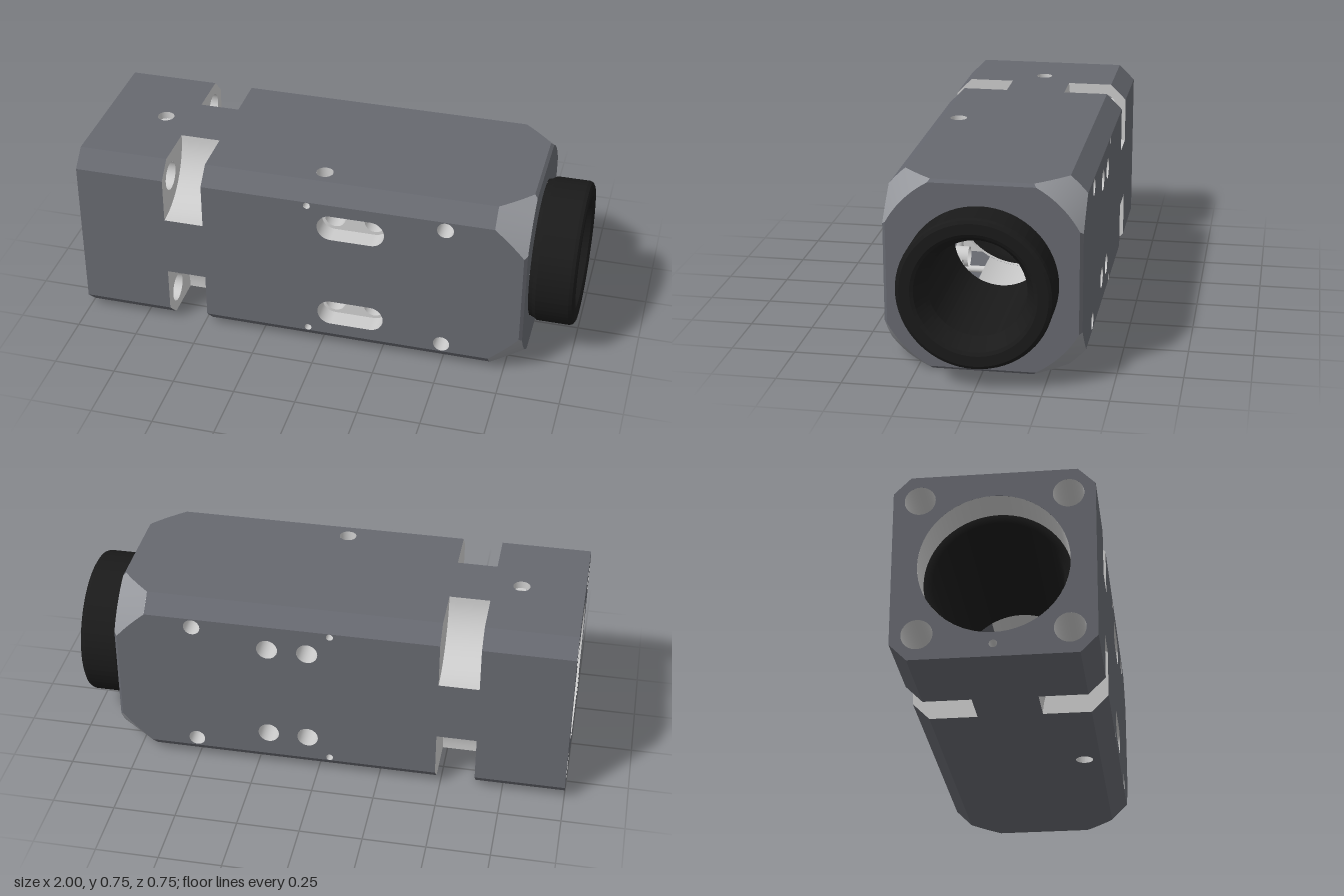
import * as THREE from 'three';

const H = 0.375, C = 0.31, BACK = -1, FRONT = 0.82, LIP = 0.808, CONE = 0.69;
const N0 = -0.64, N1 = -0.48, NV = 0.125, BORE = 0.28;
const mat = (color) => new THREE.MeshStandardMaterial({ color, side: THREE.DoubleSide });
const paint = mat(0x66686f), metal = mat(0xcccccc), edge = mat(0x95979c), black = mat(0x1a1a1a);

function add(parent, name, geometry, material) {
  const m = new THREE.Mesh(geometry, material);
  m.name = name;
  parent.add(m);
  return m;
}

// Surface through rows of equally many [x, y, z] points
function loft(rows) {
  const n = rows[0].length, index = [];
  for (let i = 0; i < rows.length - 1; i++) {
    for (let j = 0; j < n - 1; j++) {
      const a = i * n + j, c = a + n;
      index.push(a, a + 1, c, a + 1, c + 1, c);
    }
  }
  const g = new THREE.BufferGeometry();
  g.setAttribute('position', new THREE.Float32BufferAttribute(rows.flat(2), 3));
  g.setIndex(index);
  g.computeVertexNormals();
  return g;
}

const polygon = (pts) => new THREE.Shape(pts.map(([x, y]) => new THREE.Vector2(x, y)));
const circle = (x, y, r, Type = THREE.Path) => new Type().absarc(x, y, r, 0, Math.PI * 2, false);
const slot = (x, y, half, r, Type = THREE.Path) => new Type()
  .absarc(x + half - r, y, r, -Math.PI / 2, Math.PI / 2, false)
  .absarc(x - half + r, y, r, Math.PI / 2, Math.PI * 1.5, false)
  .closePath();

// Wall of a recess going from z0 inwards to z1
function wall(path, z0, z1) {
  const pts = path.getPoints(16);
  return loft([z0, z1].map((z) => pts.map((p) => [p.x, p.y, z])));
}

// Flat shape across the x axis, facing dir
const across = (shape, x, dir) =>
  new THREE.ShapeGeometry(shape, 32).rotateY(dir * Math.PI / 2).translate(x, 0, 0);

// Open tube along x
function tube(r, x0, x1, start = 0, length = Math.PI * 2) {
  return new THREE.CylinderGeometry(r, r, x1 - x0, 48, 1, true, start, length)
    .rotateZ(-Math.PI / 2).translate((x0 + x1) / 2, 0, 0);
}

// Cone radius that trims the four corners at the eyepiece end
const R0 = Math.hypot(H, C);
const coneR = (x) => R0 + (0.415 - R0) * (x - CONE) / (FRONT - CONE);
const coneV = (x, h) => Math.sqrt(coneR(x) ** 2 - h * h);
const stations = Array.from({ length: 9 }, (_, i) => CONE + (LIP - CONE) * i / 8);

// Arc over one corner, from the top side to the front side
function cornerArc(x, h) {
  const r = coneR(x), a0 = Math.acos(h / r), a1 = Math.PI / 2 - a0;
  return Array.from({ length: 13 }, (_, j) => {
    const a = a0 + (a1 - a0) * j / 12;
    return [x, r * Math.cos(a), r * Math.sin(a)];
  });
}

function faceOutline() {
  const half = [[BACK, C], [N0, C], [N0, NV], [N1, NV], [N1, C],
    ...stations.map((x) => [x, coneV(x, H)])];
  return polygon([...half.map(([x, v]) => [x, -v]), ...half.reverse()]);
}

// Holes of each side: 0 front, 1 top, 2 back, 3 bottom
function holesFor(k) {
  if (k === 1) return [
    { x: -0.75, v: 0, r: 0.034, depth: 0.03, inner: 0.018, end: 0.09 },
    { x: -0.01, v: -0.245, r: 0.034, depth: 0.06, inner: 0.015, end: 0.24 }];
  if (k === 3) return [{ x: -0.01, v: 0.245, r: 0.034, depth: 0.06, inner: 0.015, end: 0.24 }];
  const list = [];
  for (const s of [-1, 1]) {
    list.push({ x: -0.05, v: s * 0.295, r: 0.014, depth: H });
    list.push({ x: 0.5, v: s * 0.273, r: 0.033, depth: 0.2, cap: true });
    if (k === 2) for (const x of [0.04, 0.2]) list.push({ x, v: s * 0.205, r: 0.042, depth: 0.18 });
  }
  return list;
}

function buildSide(k) {
  const side = new THREE.Group();
  side.name = ['frontSide', 'topSide', 'backSide', 'bottomSide'][k];
  side.rotation.x = -k * Math.PI / 2;
  const face = faceOutline();

  for (const h of holesFor(k)) {
    const path = circle(h.x, h.v, h.r), floor = H - h.depth;
    face.holes.push(path);
    add(side, 'holeWall', wall(path, H, floor), metal);
    if (h.cap) add(side, 'holeFloor', new THREE.CircleGeometry(h.r, 24).translate(h.x, h.v, floor), black);
    if (h.inner) {
      const seat = circle(h.x, h.v, h.r, THREE.Shape), pin = circle(h.x, h.v, h.inner);
      seat.holes.push(pin);
      add(side, 'screwSeat', new THREE.ShapeGeometry(seat).translate(0, 0, floor), metal);
      add(side, 'screwBore', wall(pin, floor, H - h.end), metal);
    }
  }

  // Two long recesses, each with two drilled holes
  if (k === 0) for (const s of [-1, 1]) {
    const v = s * 0.205, z = H - 0.08, outline = slot(0.125, v, 0.135, 0.055);
    face.holes.push(outline);
    add(side, 'slotWall', wall(outline, H, z), metal);
    const floor = slot(0.125, v, 0.135, 0.055, THREE.Shape);
    for (const x of [0.045, 0.205]) {
      const hole = circle(x, v, 0.042);
      floor.holes.push(hole);
      add(side, 'slotHole', wall(hole, z, 0.195), metal);
    }
    add(side, 'slotFloor', new THREE.ShapeGeometry(floor).translate(0, 0, z), metal);
  }
  add(side, 'sidePanel', new THREE.ShapeGeometry(face, 24).translate(0, 0, H), paint);

  // Long chamfer, interrupted by the corner notch
  for (const [a, b] of [[BACK, N0], [N1, CONE]])
    add(side, 'cornerChamfer', loft([a, b].map((x) => [[x, H, C], [x, C, H]])), paint);

  // Conical corner and the small lip bevel
  add(side, 'conicalCorner', loft([...stations.map((x) => cornerArc(x, H)), cornerArc(FRONT, H - 0.012)]), edge);
  add(side, 'lipBevel', loft([[LIP, H], [FRONT, H - 0.012]].map(([x, h]) =>
    [[x, coneV(x, h), h], [x, -coneV(x, h), h]])), paint);

  // Scooped corner notch with its two end walls
  const arc = Array.from({ length: 17 }, (_, i) => {
    const a = i / 16 * Math.PI / 2;
    return [H - (H - NV) * Math.sin(a), H - (H - NV) * Math.cos(a)];
  }).map(([z, y]) => [z, y]);
  const floorArc = [...arc].reverse();
  add(side, 'notchFloor', loft([N0, N1].map((x) => floorArc.map(([z, y]) => [x, y, z]))), metal);
  for (const [x, dir] of [[N0, 1], [N1, -1]]) {
    const shape = polygon([...arc, [NV, H], [C, H], [H, C]].map(([z, y]) => [-dir * z, y]));
    if (dir === 1) shape.holes.push(circle(-0.275, 0.275, 0.058));
    add(side, 'notchWall', across(shape, x, dir), metal);
  }
  const bolt = tube(0.058, BACK, N0);
  add(side, 'boltHole', bolt.translate(0, 0.275, 0.275), metal);
  return side;
}

export function createModel() {
  const model = new THREE.Group();
  model.name = 'housing';
  const body = new THREE.Group();
  body.name = 'body';
  body.position.y = H;
  model.add(body);
  for (let k = 0; k < 4; k++) body.add(buildSide(k));

  // Rear face with bore, four bolt holes and a pin hole
  const rear = polygon([[-H, -C], [-C, -H], [C, -H], [H, -C], [H, C], [C, H], [-C, H], [-H, C]]);
  rear.holes.push(circle(0, 0, BORE), circle(0, -0.325, 0.015));
  for (const y of [-0.275, 0.275]) for (const z of [-0.275, 0.275]) rear.holes.push(circle(z, y, 0.058));
  add(body, 'rearFace', across(rear, BACK, -1), paint);
  add(body, 'pinHole', tube(0.015, BACK, -0.9).translate(0, -0.325, 0), metal);

  // Front face: rounded corners between four straight edges
  const rim = [];
  for (let k = 0; k < 4; k++) {
    const c = Math.round(Math.cos(k * Math.PI / 2)), s = Math.round(Math.sin(k * Math.PI / 2));
    for (const [, y, z] of cornerArc(FRONT, H - 0.012)) rim.push([y * c - z * s, y * s + z * c]);
  }
  const frontFace = polygon(rim);
  frontFace.holes.push(circle(0, 0, BORE));
  add(body, 'frontFace', across(frontFace, FRONT, 1), paint);

  // Bore, left open where the cross holes pass through
  add(body, 'rearBore', tube(BORE, BACK, -0.08), metal);
  add(body, 'frontBore', tube(BORE, 0.27, FRONT), metal);
  for (let k = 0; k < 4; k++) {
    const spread = THREE.MathUtils.degToRad(k % 2 ? 28 : 21);
    add(body, 'middleBore', tube(BORE, -0.08, 0.27, k * Math.PI / 2 - spread, spread * 2), metal);
  }

  // Black inner liner and eyepiece, both turned about the x axis
  const turned = (name, pts) => add(body, name, new THREE.LatheGeometry(
    pts.map(([r, x]) => new THREE.Vector2(r, x)), 64).rotateZ(-Math.PI / 2), black);
  turned('innerLiner', [[0.279, -0.86], [0.245, -0.86], [0.245, -0.1], [0.279, -0.1]]);
  const ring = [[0.278, 0.4], [0.278, 0.82], [0.282, 0.835], [0.292, 0.85], [0.292, 0.98], [0.287, 0.993],
    [0.275, 1], [0.235, 1], [0.222, 0.993], [0.195, 0.94], [0.186, 0.92], [0.186, 0.4], [0.278, 0.4]];
  const eyepiece = turned('eyepiece', ring);
  eyepiece.geometry = eyepiece.geometry.toNonIndexed();
  eyepiece.geometry.computeVertexNormals();
  return model;
}
